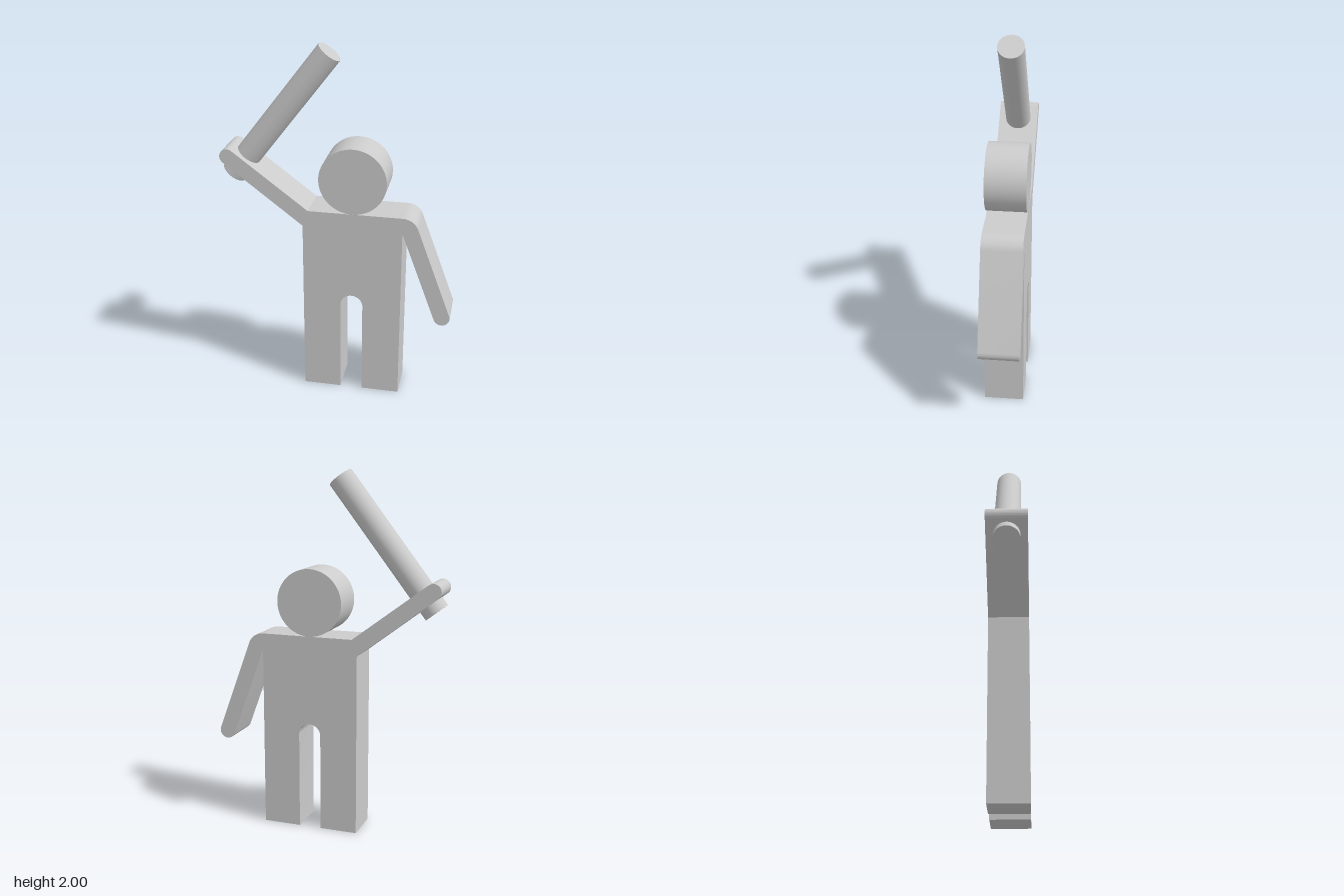
import * as THREE from 'three';
import { toCreasedNormals } from 'three/addons/utils/BufferGeometryUtils.js';

const DEPTH = 0.22;
const deg = THREE.MathUtils.degToRad;

export function createModel() {
  const group = new THREE.Group();
  const material = new THREE.MeshStandardMaterial({ color: 0xcccccc });

  const add = (name, geometry) => {
    const mesh = new THREE.Mesh(geometry, material);
    mesh.name = name;
    group.add(mesh);
    return mesh;
  };

  // Flat figure: legs, torso and both arms in one outline
  const s = new THREE.Shape();
  s.moveTo(-0.185, 0);
  s.lineTo(0.026, 0);
  s.absarc(0.089, 0.545, 0.063, Math.PI, 0, true); // arch between the legs
  s.lineTo(0.152, 0);
  s.lineTo(0.365, 0);
  s.lineTo(0.365, 1.015); // armpit
  s.absarc(0.597, 0.52, 0.045, deg(200), deg(380), false); // lowered hand
  s.absarc(0.365, 1.015, 0.09, deg(20), deg(90), false); // rounded shoulder
  s.lineTo(-0.155, 1.105);
  s.absarc(-0.597, 1.385, 0.043, deg(52.8), deg(232.8), false); // raised hand
  s.lineTo(-0.185, 1.015);
  s.closePath();
  const body = new THREE.ExtrudeGeometry(s, {
    depth: DEPTH, bevelEnabled: false, curveSegments: 24,
  });
  body.translate(0, 0, -DEPTH / 2);
  add('body', toCreasedNormals(body, deg(30)));

  // Disc head resting on the shoulders
  const head = add('head', new THREE.CylinderGeometry(0.185, 0.185, DEPTH, 64));
  head.rotation.x = Math.PI / 2;
  head.position.set(0.09, 1.29, 0);

  // Round stick held through the raised hand
  const from = new THREE.Vector3(-0.592, 1.26, 0);
  const to = new THREE.Vector3(-0.053, 1.957, 0);
  const axis = to.clone().sub(from);
  const stick = add('stick', new THREE.CylinderGeometry(0.071, 0.071, axis.length(), 48));
  stick.position.copy(from).add(to).multiplyScalar(0.5);
  stick.quaternion.setFromUnitVectors(new THREE.Vector3(0, 1, 0), axis.normalize());

  return group;
}
